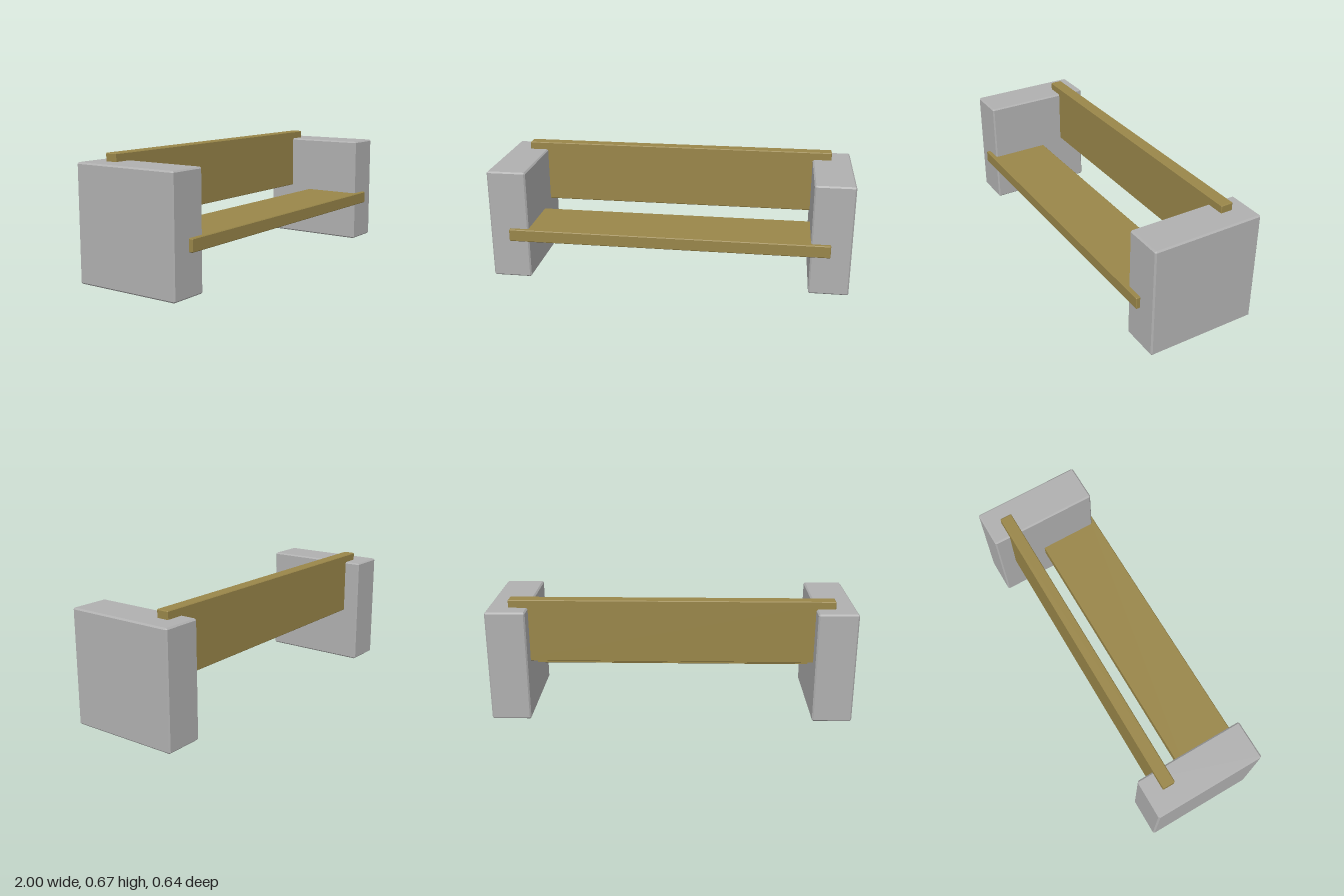
import * as THREE from 'three';
import { ConvexGeometry } from 'three/addons/geometries/ConvexGeometry.js';

// Box with chamfered edges, given by its extents on each axis
function chamferedBox(name, material, [x0, x1], [y0, y1], [z0, z1], bevel) {
  const half = [(x1 - x0) / 2, (y1 - y0) / 2, (z1 - z0) / 2];
  const points = [];
  for (const sx of [-1, 1]) for (const sy of [-1, 1]) for (const sz of [-1, 1]) {
    // Each corner becomes three points, one on each adjoining face
    for (let face = 0; face < 3; face++) {
      const [x, y, z] = half.map((h, axis) => (axis === face ? h : h - bevel));
      points.push(new THREE.Vector3(sx * x, sy * y, sz * z));
    }
  }
  const mesh = new THREE.Mesh(new ConvexGeometry(points), material);
  mesh.name = name;
  mesh.position.set((x0 + x1) / 2, (y0 + y1) / 2, (z0 + z1) / 2);
  return mesh;
}

export function createModel() {
  const concrete = new THREE.MeshStandardMaterial({ color: 0xb0b0b0 });
  concrete.name = 'concrete grey';
  const wood = new THREE.MeshStandardMaterial({ color: 0x998649 });
  wood.name = 'wood brown';

  const bench = new THREE.Group();
  bench.name = 'bench';

  // Solid end blocks
  bench.add(
    chamferedBox('leftBlock', concrete, [0.782, 1], [0, 0.623], [-0.322, 0.3], 0.008),
    chamferedBox('rightBlock', concrete, [-1, -0.782], [0, 0.623], [-0.322, 0.3], 0.008),
  );

  // Planks, let into the blocks
  bench.add(
    chamferedBox('seat', wood, [-0.888, 0.888], [0.225, 0.294], [-0.035, 0.322], 0.004),
    chamferedBox('backrest', wood, [-0.888, 0.888], [0.313, 0.666], [-0.231, -0.162], 0.004),
  );

  return bench;
}
